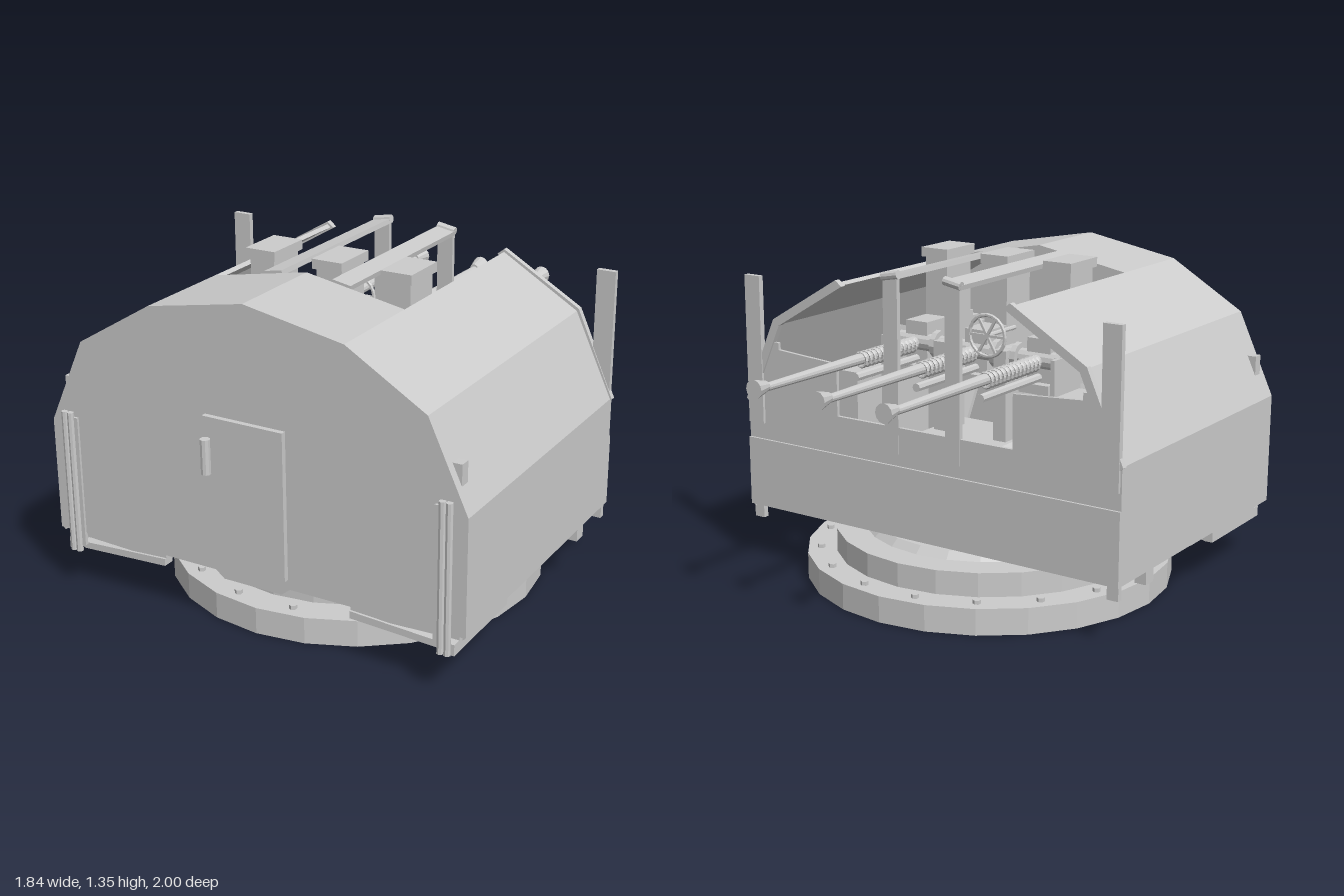
import * as THREE from 'three';

const mat = new THREE.MeshStandardMaterial({ color: 0xcccccc, flatShading: true, side: THREE.DoubleSide });

export function createModel() {
  const root = new THREE.Group();
  root.name = 'gunTurret';

  const add = (name, geo, x = 0, y = 0, z = 0, parent = root) => {
    const m = new THREE.Mesh(geo, mat);
    m.name = name;
    m.position.set(x, y, z);
    parent.add(m);
    return m;
  };
  // box given by its minimum and maximum corners
  const box = (name, x0, x1, y0, y1, z0, z1, parent = root) =>
    add(name, new THREE.BoxGeometry(x1 - x0, y1 - y0, z1 - z0), (x0 + x1) / 2, (y0 + y1) / 2, (z0 + z1) / 2, parent);
  // cylinder lying along z, from z0 (radius r0) to z1 (radius r1)
  const rod = (name, x, y, z0, z1, r0, r1, parent = root, sides = 12) =>
    add(name, new THREE.CylinderGeometry(r1, r0, z1 - z0, sides).rotateX(Math.PI / 2), x, y, (z0 + z1) / 2, parent);
  // outline in x/y extruded between two z values
  const slab = (name, pts, z0, z1, parent = root) => {
    const shape = new THREE.Shape(pts.map(p => new THREE.Vector2(p[0], p[1])));
    return add(name, new THREE.ExtrudeGeometry(shape, { depth: z1 - z0, bevelEnabled: false }), 0, 0, z0, parent);
  };
  const mirror = pts => pts.map(([x, y]) => [-x, y]).reverse();
  // thin plate that follows a line of points
  const band = (name, pts, t, z0, z1, parent = root) =>
    slab(name, [...pts, ...pts.map(([x, y]) => [x - Math.sign(x) * t, y - t * 0.8]).reverse()], z0, z1, parent);

  // Base ring, upper ring and bolts
  const cz = 0.125;
  add('baseRing', new THREE.CylinderGeometry(0.78, 0.78, 0.11, 24), 0, 0.055, cz);
  add('upperRing', new THREE.CylinderGeometry(0.655, 0.655, 0.1, 24), 0, 0.16, cz);
  for (let i = 0; i < 18; i++) {
    const a = (i + 0.5) * Math.PI / 9;
    add('baseBolt', new THREE.CylinderGeometry(0.016, 0.016, 0.016, 6), 0.72 * Math.sin(a), 0.118, cz + 0.72 * Math.cos(a));
  }
  add('turntable', new THREE.CylinderGeometry(0.5, 0.53, 0.03, 24), 0, 0.225, cz);

  // Armoured shell: sides, rear roof, rear plate
  const side = [[0.912, 0.25], [0.912, 0.72], [0.75, 1.07], [0.42, 1.268]];
  const roof = [[0.42, 1.268], [0, 1.345], [-0.42, 1.268]];
  band('leftShell', side, 0.015, -0.36, 0.93);
  band('rightShell', mirror(side), 0.015, -0.36, 0.93);
  slab('rearRoof', [...roof, [-0.42, 1.25], [0, 1.327], [0.42, 1.25]], 0.5, 0.93);
  slab('rearPlate', [...side, roof[1], ...mirror(side)], 0.915, 0.935);

  // Door with its handle and step
  box('door', -0.18, 0.17, 0.29, 0.89, 0.93, 0.957);
  add('doorHandle', new THREE.CylinderGeometry(0.02, 0.02, 0.14, 10), -0.153, 0.74, 0.98);
  slab('doorStep', [[-0.13, 0.21], [0.13, 0.21], [0.18, 0.25], [-0.18, 0.25]], 0.7, 0.92);

  // Front shield: folded lower plate and stepped upper plate
  box('lowerShield', -0.912, 0.912, 0.25, 0.55, -0.37, -0.35);
  const step = [[0.912, 0.55], [0.912, 0.72], [0.79, 0.98], [0.74, 0.98], [0.74, 0.95], [0.43, 0.93], [0.43, 0.71]];
  slab('upperShield', [...step, ...mirror(step)], -0.36, -0.345);

  for (const s of [1, -1]) {
    // Raised rim of the shell opening
    const rim = [[0.92, 0.72], [0.758, 1.08], [0.42, 1.28]];
    band('openingRim', s > 0 ? rim : mirror(rim), 0.03, -0.368, -0.343);
    box('cornerPost', s > 0 ? 0.825 : -0.905, s > 0 ? 0.905 : -0.825, 0.62, 1.255, -0.372, -0.348);

    // Roof bar and post between two guns
    const bar = box('roofBar', -0.04, 0.04, -0.01, 0.01, -0.36, 0.5);
    bar.position.set(s * 0.15, 1.318, 0.07);
    bar.rotation.z = -s * 0.18;
    box('barPost', s * 0.15 - 0.035, s * 0.15 + 0.035, 0.6, 1.315, -0.362, -0.342);
    const knob = add('barEnd', new THREE.CylinderGeometry(0.018, 0.018, 0.08, 10).rotateZ(Math.PI / 2), s * 0.15, 1.325, -0.355);
    knob.rotation.z = -s * 0.18;

    // Rear corner pipe, bracket and lamp
    for (const dx of [-0.014, 0.014])
      add('cornerPipe', new THREE.CylinderGeometry(0.014, 0.014, 0.6, 8), s * 0.83 + dx, 0.47, 0.945);
    box('pipeBacking', s * 0.81 - 0.025, s * 0.81 + 0.025, 0.2, 0.75, 0.93, 0.945);
    box('sideLamp', s * 0.84 - 0.027, s * 0.84 + 0.027, 0.79, 0.9, 0.855, 0.9);

    // Sloping rear platform and its bearers
    const deck = [[0.42, 0.2], [0.87, 0.215], [0.87, 0.235], [0.42, 0.25]];
    slab('sidePlatform', s > 0 ? deck : mirror(deck), 0.3, 0.9);
    const beam = [[0.42, 0.185], [0.82, 0.165], [0.86, 0.19], [0.42, 0.215]];
    for (const z of [0.52, 0.86]) slab('platformBeam', s > 0 ? beam : mirror(beam), z, z + 0.05);
    box('platformRail', s * 0.85 - 0.02, s * 0.85 + 0.02, 0.17, 0.215, 0.5, 0.94);
    box('hangerFoot', s * 0.88 - 0.025, s * 0.88 + 0.025, 0.19, 0.26, -0.355, -0.33);
    box('hangerFoot', s * 0.88 - 0.025, s * 0.88 + 0.025, 0.19, 0.26, -0.14, -0.08);

    // Mount cheek and ammunition locker inside
    slab('mountCheek', [[s * 0.41, 0.23], [s * 0.43, 0.23], [s * 0.43, 1.0], [s * 0.41, 1.0]], -0.06, 0.14);
    box('locker', s * 0.53 - 0.08, s * 0.53 + 0.08, 0.24, 0.86, -0.2, 0.1);
  }

  // Gun mount: pedestal and trunnion axle
  slab('pedestal', [[-0.42, 0.23], [0.42, 0.23], [0.42, 0.5], [0.2, 0.62], [-0.2, 0.62], [-0.42, 0.5]], -0.1, 0.2);
  for (const x of [-0.15, 0.15]) box('mountArm', x - 0.03, x + 0.03, 0.6, 1.0, -0.03, 0.11);
  add('trunnionAxle', new THREE.CylinderGeometry(0.038, 0.038, 0.82, 12).rotateZ(Math.PI / 2), 0, 0.97, 0.04);
  for (const x of [-0.41, -0.2, -0.1, 0.1, 0.2, 0.41])
    add('trunnionCollar', new THREE.CylinderGeometry(0.06, 0.06, 0.025, 12).rotateZ(Math.PI / 2), x, 0.97, 0.04);

  // Elevating handwheel
  const wheel = new THREE.Group();
  wheel.name = 'handwheel';
  wheel.position.set(-0.13, 1.07, -0.09);
  root.add(wheel);
  add('wheelRim', new THREE.TorusGeometry(0.085, 0.008, 6, 20), 0, 0, 0, wheel);
  for (let i = 0; i < 3; i++)
    add('wheelSpoke', new THREE.BoxGeometry(0.17, 0.01, 0.01), 0, 0, 0, wheel).rotation.z = i * Math.PI / 3;
  rod('wheelShaft', 0, 0, 0, 0.2, 0.01, 0.01, wheel, 8);

  // Three guns side by side
  for (const x of [-0.305, 0, 0.303]) {
    const gun = new THREE.Group();
    gun.name = 'gun';
    gun.position.x = x;
    root.add(gun);
    rod('barrel', 0, 0.97, -0.95, 0, 0.016, 0.028, gun);
    rod('muzzle', 0, 0.975, -1, -0.93, 0.038, 0.02, gun);
    rod('muzzleBore', 0, 0.975, -1, -0.99, 0.012, 0.012, gun, 8);
    for (let i = 0; i < 13; i++)
      add('recoilSpringCoil', new THREE.TorusGeometry(0.029, 0.007, 5, 12), 0, 0.965, -0.02 - i * 0.028, gun);
    rod('gasTube', 0, 0.9, -0.395, 0.05, 0.018, 0.018, gun, 8);
    box('receiver', -0.055, 0.055, 0.88, 1.06, 0.02, 0.36, gun);
    box('breech', -0.045, 0.045, 0.9, 1.03, 0.36, 0.42, gun);
    box('buffer', -0.055, 0.055, 0.93, 1.0, 0.42, 0.46, gun);
    box('magazine', -0.055, 0.055, 1.06, 1.31, 0.165, 0.34, gun);
    box('magazineLid', -0.067, 0.067, 1.31, 1.35, 0.15, 0.355, gun);
    box('cradle', -0.07, 0.07, 0.84, 0.88, -0.02, 0.34, gun);
    // slanted chute that catches spent cases
    const chute = box('caseChute', -0.06, 0.06, -0.2, 0.2, -0.01, 0.01, gun);
    chute.position.set(0, 0.7, 0.38);
    chute.rotation.x = 0.5;
  }
  return root;
}
